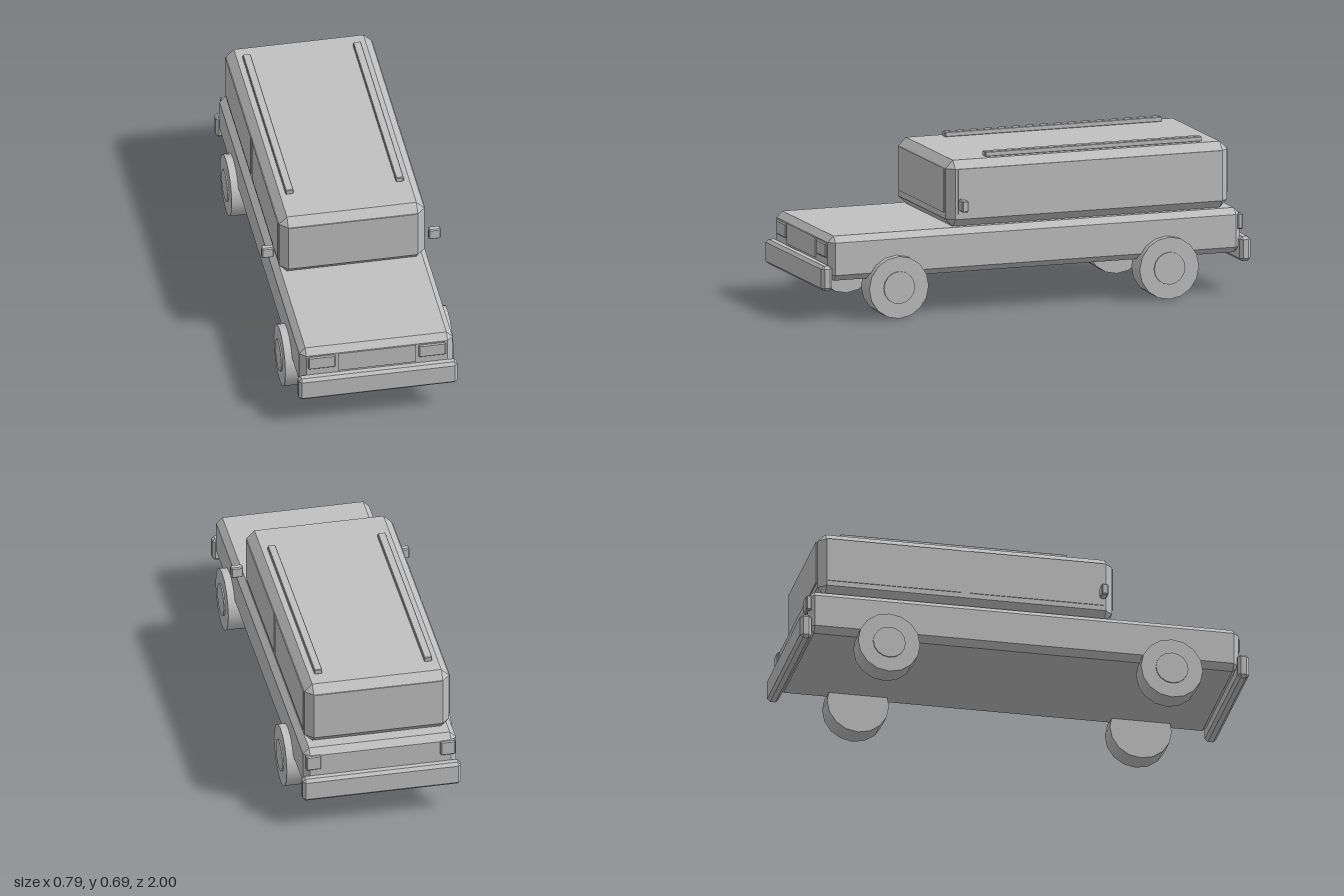
import * as THREE from 'three';
import { ConvexGeometry } from 'three/addons/geometries/ConvexGeometry.js';

const grey = new THREE.MeshStandardMaterial({ color: 0xc0c0c0 });
grey.name = 'plain grey';

// Box with flat chamfers on every edge
function chamferBox(w, h, d, c) {
  const points = [];
  for (const x of [-1, 1]) for (const y of [-1, 1]) for (const z of [-1, 1]) {
    const a = w / 2, b = h / 2, e = d / 2;
    points.push(
      new THREE.Vector3(x * a, y * (b - c), z * (e - c)),
      new THREE.Vector3(x * (a - c), y * b, z * (e - c)),
      new THREE.Vector3(x * (a - c), y * (b - c), z * e));
  }
  return new ConvexGeometry(points);
}

export function createModel() {
  const car = new THREE.Group();
  car.name = 'car';

  const add = (name, geometry, x, y, z) => {
    const mesh = new THREE.Mesh(geometry, grey);
    mesh.name = name;
    mesh.position.set(x, y, z);
    car.add(mesh);
    return mesh;
  };
  // Block given by its limits on each axis; chamfer 0 makes a plain box
  const block = (name, [x0, x1], [y0, y1], [z0, z1], c = 0) => {
    const w = x1 - x0, h = y1 - y0, d = z1 - z0;
    const geometry = c ? chamferBox(w, h, d, c) : new THREE.BoxGeometry(w, h, d);
    return add(name, geometry, (x0 + x1) / 2, (y0 + y1) / 2, (z0 + z1) / 2);
  };

  // Lower body and cabin
  block('body', [-0.34, 0.34], [0.177, 0.375], [-0.96, 0.96], 0.027);
  block('cabin', [-0.322, 0.322], [0.375, 0.668], [-0.912, 0.402], 0.035);

  // Windscreen and rear window
  block('windscreen', [-0.28, 0.28], [0.438, 0.633], [0.4, 0.407]);
  block('rearWindow', [-0.28, 0.28], [0.438, 0.633], [-0.917, -0.91]);

  // Grille and bumpers
  block('grille', [-0.173, 0.173], [0.257, 0.347], [0.958, 0.966]);
  block('frontBumper', [-0.352, 0.352], [0.139, 0.249], [0.95, 1], 0.013);
  block('rearBumper', [-0.352, 0.352], [0.139, 0.249], [-1, -0.95], 0.013);

  const wheel = new THREE.CylinderGeometry(0.138, 0.138, 0.104, 16).rotateZ(Math.PI / 2);
  const hub = new THREE.CylinderGeometry(0.072, 0.072, 0.02, 16).rotateZ(Math.PI / 2);

  for (const [side, s] of [['left', 1], ['right', -1]]) {
    const span = (a, b) => (s > 0 ? [a, b] : [-b, -a]);
    // Side windows
    block(side + 'FrontWindow', span(0.318, 0.326), [0.433, 0.633], [-0.24, 0.355]);
    block(side + 'RearWindow', span(0.318, 0.326), [0.433, 0.633], [-0.872, -0.28]);
    // Roof rail and mirror
    block(side + 'RoofRail', span(0.227, 0.262), [0.667, 0.69], [-0.804, 0.206], 0.003);
    block(side + 'Mirror', span(0.343, 0.397), [0.453, 0.505], [0.333, 0.363], 0.005);
    // Lamps
    block(side + 'Headlight', span(0.184, 0.305), [0.278, 0.342], [0.945, 0.968], 0.005);
    block(side + 'TailLight', span(0.265, 0.332), [0.28, 0.35], [-0.97, -0.945], 0.005);
    // Wheels with hub caps
    for (const [end, z] of [['Front', 0.65], ['Rear', -0.61]]) {
      add(side + end + 'Wheel', wheel, s * 0.321, 0.138, z);
      add(side + end + 'Hub', hub, s * 0.369, 0.138, z);
    }
  }
  return car;
}
